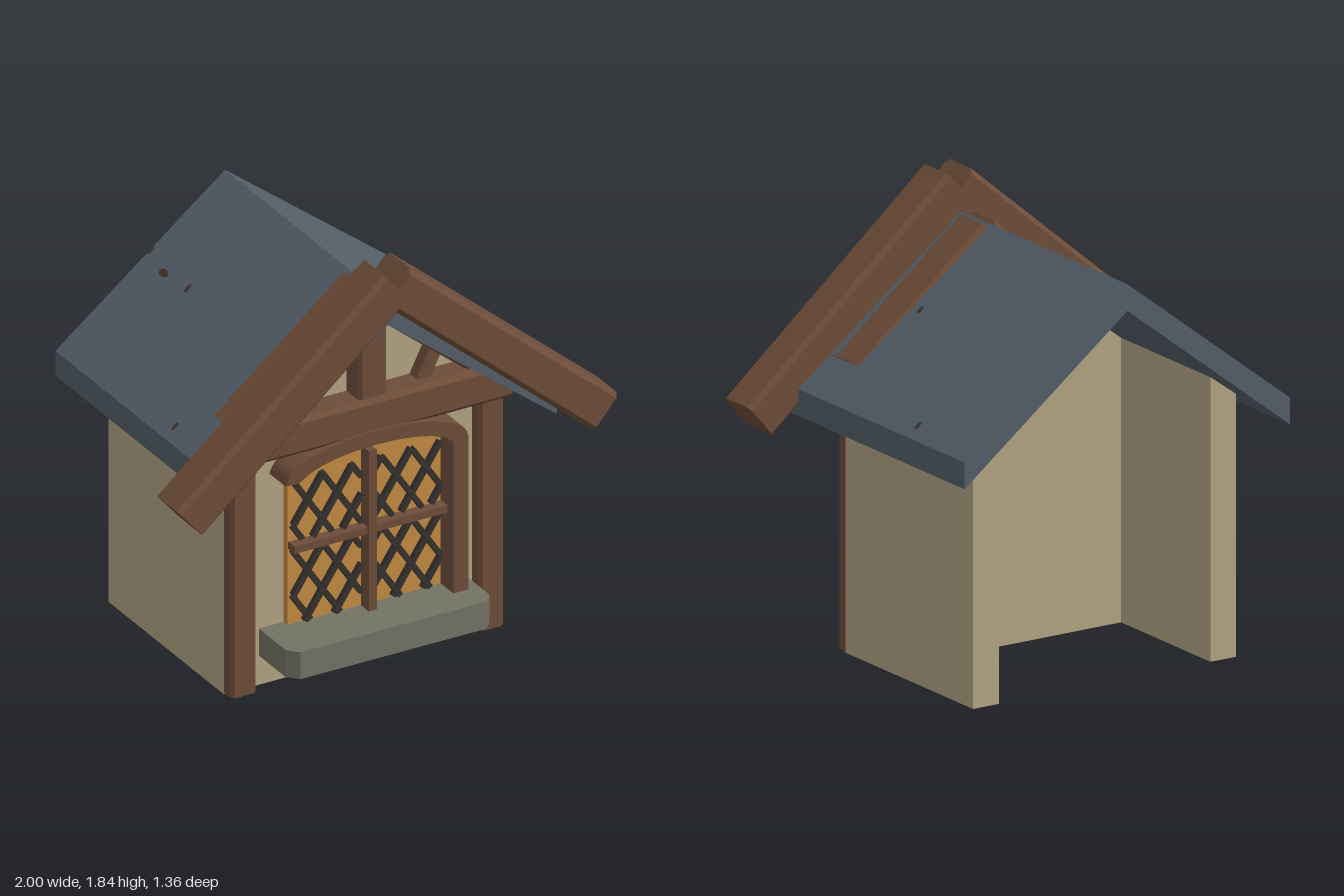
import * as THREE from 'three';

export function createModel() {
  const group = new THREE.Group();
  const material = (name, color) => {
    const m = new THREE.MeshStandardMaterial({ color });
    m.name = name;
    return m;
  };
  const timber = material('timber brown', 0x6e4d39);
  const plaster = material('cream plaster', 0xb2a483);
  const slate = material('slate blue', 0x545f69);
  const amber = material('amber glass', 0xc48c42);
  const stone = material('grey stone', 0x737364);
  const lead = material('dark lead', 0x35312f);
  const chip = material('dark chip', 0x40332d);

  const add = (name, geometry, mat, x = 0, y = 0, z = 0, rotZ = 0) => {
    const mesh = new THREE.Mesh(geometry, mat);
    mesh.name = name;
    mesh.position.set(x, y, z);
    mesh.rotation.z = rotZ;
    group.add(mesh);
    return mesh;
  };
  const polygon = (pts) => new THREE.Shape(pts.map(([x, y]) => new THREE.Vector2(x, y)));
  // Outline in x/y pushed from z0 to z1
  const slab = (shape, z0, z1) => new THREE.ExtrudeGeometry(shape, {
    depth: z1 - z0, bevelEnabled: false, curveSegments: 10,
  }).translate(0, 0, z0);
  // Beam along x with chamfered long edges, centred
  const beam = (length, h, d, c = 0.02) => {
    const a = d / 2, b = h / 2;
    const s = polygon([[-a + c, -b], [a - c, -b], [a, -b + c], [a, b - c],
      [a - c, b], [-a + c, b], [-a, b - c], [-a, -b + c]]);
    return slab(s, -length / 2, length / 2).rotateY(Math.PI / 2);
  };
  const upright = Math.PI / 2;

  // Walls: thick front with gable, two sides, open back
  add('frontWall', slab(polygon([[-0.5, 0], [0.5, 0], [0.5, 1.17], [0, 1.56], [-0.5, 1.17]]), 0.11, 0.38), plaster);
  for (const s of [-1, 1]) {
    const pts = [[0.5, 0], [0.622, 0], [0.622, 1.08], [0.5, 1.17]].map(([x, y]) => [x * s, y]);
    add('sideWall', slab(polygon(pts), -0.52, 0.38), plaster);
  }

  // Roof
  add('roof', slab(polygon([[-0.77, 0.97], [0, 1.57], [0.77, 0.97], [0.77, 1.08], [0, 1.68], [-0.77, 1.08]]), -0.68, 0.59), slate);

  // Small chips lying on the slates
  const slope = Math.atan2(0.6, 0.77);
  const chips = [[-0.37, -0.52, 0.035, 0.06], [-0.36, -0.35, 0.045, 0.018], [-0.72, 0.17, 0.04, 0.018],
    [0.36, 0.24, 0.035, 0.018], [0.72, -0.28, 0.04, 0.018], [-0.34, -0.67, 0.04, 0.012]];
  for (const [x, z, w, d] of chips) {
    const g = new THREE.CylinderGeometry(0.5, 0.5, 0.008, 6).scale(w, 1, d);
    add('roofChip', g, chip, x, 1.68 - Math.abs(x) * 0.6 / 0.77, z, -Math.sign(x) * slope);
  }

  // Paired timbers
  const pitch = THREE.MathUtils.degToRad(40.4);
  for (const s of [-1, 1]) {
    add('bargeboard', beam(1.234, 0.177, 0.19), timber, s * 0.472, 1.372, 0.585, -s * pitch);
    // Gable rafter, its top just breaking through the slates
    const rafterTilt = THREE.MathUtils.degToRad(39.2);
    const len = 0.59 / Math.cos(rafterTilt);
    const h = 0.12;
    add('gableRafter', beam(len, h, 0.19), timber,
      s * (0.325 - Math.sin(rafterTilt) * h / 2), 1.441 - Math.cos(rafterTilt) * h / 2, 0.375, -s * rafterTilt);
    add('cornerPost', beam(1.05, 0.115, 0.16, 0.015), timber, s * 0.5625, 0.53, 0.36, upright);
    add('gableStrut', beam(0.22, 0.06, 0.09, 0.012), timber, s * 0.275, 1.24, 0.4, upright - s * 0.46);
  }
  add('crossBeam', beam(1.24, 0.16, 0.16), timber, 0, 1.12, 0.42);
  add('kingPost', beam(0.4, 0.13, 0.12, 0.015), timber, 0, 1.36, 0.42, upright);

  // Arched window glass
  const pane = new THREE.Shape();
  pane.moveTo(-0.35, 0.24);
  pane.lineTo(0.35, 0.24);
  pane.lineTo(0.35, 0.93);
  pane.bezierCurveTo(0.25, 1.03, -0.25, 1.03, -0.35, 0.93);
  add('windowGlass', slab(pane, 0.37, 0.41), amber);

  // Frame: arch with a single jamb
  const frame = new THREE.Shape();
  frame.moveTo(0.345, 0.24);
  frame.lineTo(0.415, 0.24);
  frame.lineTo(0.415, 0.925);
  frame.bezierCurveTo(0.405, 0.98, 0.37, 1.0, 0.31, 1.02);
  frame.bezierCurveTo(0.16, 1.08, -0.16, 1.08, -0.31, 1.02);
  frame.bezierCurveTo(-0.37, 0.995, -0.395, 0.98, -0.415, 0.925);
  frame.lineTo(-0.35, 0.925);
  frame.bezierCurveTo(-0.25, 1.03, 0.25, 1.03, 0.345, 0.925);
  add('windowFrame', slab(frame, 0.37, 0.51), timber);
  add('mullion', new THREE.BoxGeometry(0.036, 0.71, 0.06), timber, 0, 0.605, 0.445);
  add('transom', new THREE.BoxGeometry(0.7, 0.032, 0.05), timber, 0, 0.605, 0.44);

  // Diamond lattice, each bar clipped to its pane
  const rise = 1.5, step = 0.135;
  for (const s of [-1, 1]) {
    for (const [y0, y1] of [[0.26, 0.585], [0.625, 0.895]]) {
      for (const dir of [-1, 1]) {
        for (let k = -4; k < 8; k++) {
          const base = (k + 0.5) * step;
          const xAt = (y) => base + dir * (y1 - y) / rise;
          const yAt = (x) => y1 - (x - base) * rise * dir;
          const ends = [yAt(0.025), yAt(0.335)].sort((a, b) => a - b);
          const lo = Math.max(y0, ends[0]), hi = Math.min(y1, ends[1]);
          if (hi - lo < 0.04) continue;
          const dx = xAt(hi) - xAt(lo), dy = hi - lo;
          add('latticeBar', new THREE.BoxGeometry(Math.hypot(dx, dy), 0.023, 0.022), lead,
            s * (xAt(lo) + xAt(hi)) / 2, (lo + hi) / 2, 0.425 + dir * 0.003, Math.atan2(dy, s * dx));
        }
      }
    }
  }

  // Stone sill with clipped front corners
  const sill = slab(polygon([[-0.463, -0.37], [-0.463, -0.59], [-0.423, -0.635], [0.423, -0.635],
    [0.463, -0.59], [0.463, -0.37]]), 0.13, 0.25).rotateX(-Math.PI / 2);
  // rotateX(-90°) sends outline y to -z and depth to +y
  add('windowSill', sill, stone);

  return group;
}
